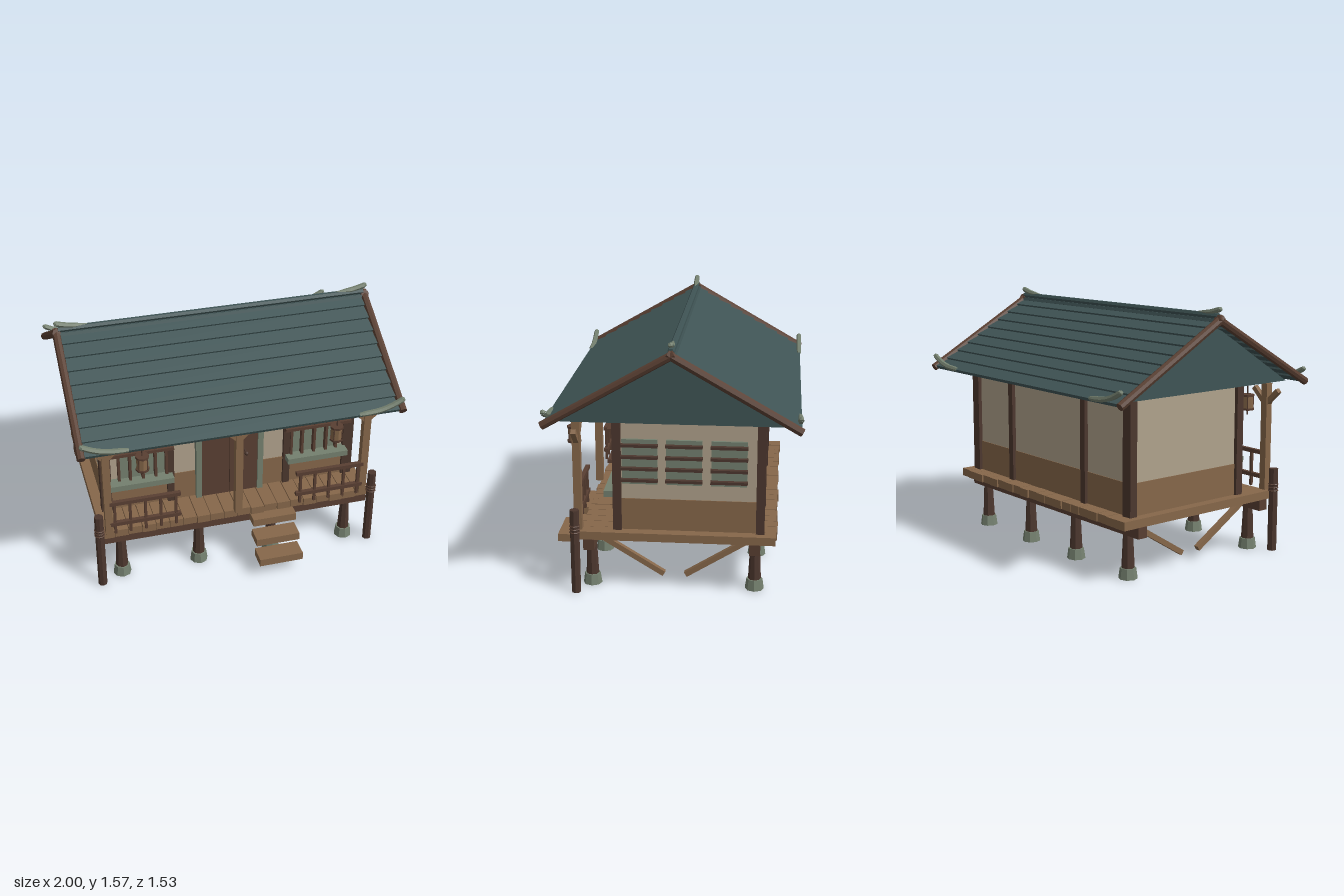
import * as THREE from 'three';

const mat = (name, color) => {
  const m = new THREE.MeshStandardMaterial({ color });
  m.name = name;
  return m;
};

export function createModel() {
  const M = {
    roof: mat('roofTeal', 0x3f5455),
    plaster: mat('plaster', 0xb0a28c),
    wood: mat('lightWood', 0x86674a),
    trim: mat('brownWood', 0x593f32),
    dark: mat('darkWood', 0x4c372e),
    stone: mat('greyGreen', 0x74806f),
  };
  const root = new THREE.Group();
  root.name = 'stiltHouse';

  // Faceted mesh helper
  const add = (name, geo, m, x = 0, y = 0, z = 0, parent = root) => {
    const g = geo.index ? geo.toNonIndexed() : geo;
    g.computeVertexNormals();
    const mesh = new THREE.Mesh(g, m);
    mesh.name = name;
    mesh.position.set(x, y, z);
    parent.add(mesh);
    return mesh;
  };
  // Box given by its limits on each axis
  const box = (name, m, x0, x1, y0, y1, z0, z1) =>
    add(name, new THREE.BoxGeometry(x1 - x0, y1 - y0, z1 - z0), m, (x0 + x1) / 2, (y0 + y1) / 2, (z0 + z1) / 2);
  const cyl = (name, m, rTop, rBottom, y0, y1, x, z, sides = 8) =>
    add(name, new THREE.CylinderGeometry(rTop, rBottom, y1 - y0, sides), m, x, (y0 + y1) / 2, z);
  // Square timber between two points
  const beam = (name, m, a, b, size) => {
    const p = new THREE.Vector3(...a), q = new THREE.Vector3(...b);
    const mid = p.clone().add(q).multiplyScalar(0.5);
    const mesh = add(name, new THREE.BoxGeometry(size, size, p.distanceTo(q)), m, mid.x, mid.y, mid.z);
    mesh.lookAt(q);
    return mesh;
  };
  let seed = 7;
  const rand = () => (seed = (seed * 16807) % 2147483647) / 2147483647;

  // Stilts on stone feet, beams and diagonal braces
  for (const z of [0.485, -0.495]) {
    for (const x of [-0.74, -0.24, 0.24, 0.74]) {
      cyl('stoneFoot', M.stone, 0.048, 0.057, 0, 0.065, x, z);
      cyl('stilt', M.dark, 0.029, 0.039, 0.065, 0.28, x, z);
    }
    box('floorBeam', M.trim, -0.87, 0.87, 0.267, 0.334, z - 0.032, z + 0.032);
  }
  for (const x of [-0.74, 0.74]) {
    beam('floorBrace', M.wood, [x, 0.325, 0.455], [x, 0.075, 0.05], 0.032);
    beam('floorBrace', M.wood, [x, 0.325, -0.48], [x, 0.075, -0.08], 0.032);
  }

  // Floor planks with slightly uneven ends
  const planks = 20, pw = 1.74 / planks;
  for (let i = 0; i < planks; i++) {
    const x = -0.87 + i * pw, e = rand() * 0.012, h = rand() * 0.004;
    box('floorPlank', M.wood, x + 0.002, x + pw - 0.002, 0.333, 0.381 + h, -0.628 + e, 0.548 - e);
  }

  // Entry steps
  [[0.283, 0.49, 0.61], [0.187, 0.575, 0.69], [0.09, 0.65, 0.77]].forEach(([y, z0, z1]) =>
    box('step', M.wood, 0.085, 0.365, y, y + 0.05, z0, z1));

  // Mooring posts with rope rings
  for (const x of [-0.88, 0.88]) {
    cyl('mooringPost', M.dark, 0.028, 0.028, 0, 0.525, x, 0.563);
    for (const y of [0.385, 0.405, 0.425])
      add('ropeRing', new THREE.TorusGeometry(0.028, 0.005, 5, 10), M.trim, x, y, 0.563).rotation.x = Math.PI / 2;
  }

  // Walls and wall posts
  box('wainscot', M.wood, -0.805, 0.805, 0.383, 0.578, -0.53, 0.325);
  box('plasterWall', M.plaster, -0.8, 0.8, 0.578, 1.15, -0.525, 0.32);
  for (const x of [-0.79, -0.379, 0.379, 0.79]) {
    const w = Math.abs(x) > 0.5 ? 0.034 : 0.022;
    for (const z of [0.318, -0.524]) box('wallPost', M.dark, x - w, x + w, 0.383, 1.15, z - 0.025, z + 0.025);
  }

  // Double door
  box('doorFrameTop', M.stone, -0.218, 0.218, 0.998, 1.035, 0.3, 0.358);
  for (const s of [-1, 1]) {
    box('doorFrameSide', M.stone, s * 0.2 - 0.018, s * 0.2 + 0.018, 0.383, 1.0, 0.3, 0.358);
    box('doorLeaf', M.trim, s * 0.092 - 0.09, s * 0.092 + 0.09, 0.385, 0.998, 0.3, 0.348);
  }
  add('doorKnob', new THREE.IcosahedronGeometry(0.014, 1), M.dark, 0.097, 0.7, 0.395);
  add('knobStem', new THREE.BoxGeometry(0.01, 0.01, 0.05), M.dark, 0.097, 0.7, 0.365);

  // Front windows, railings, lanterns on both sides
  for (const s of [-1, 1]) {
    const c = s * 0.556;
    box('windowPane', M.stone, c - 0.155, c + 0.155, 0.6, 0.99, 0.31, 0.328);
    for (const y of [0.803, 0.992]) box('windowBar', M.trim, s * 0.578 - 0.218, s * 0.578 + 0.218, y - 0.01, y + 0.01, 0.345, 0.372);
    for (const dx of [-0.08, 0, 0.08]) box('windowMullion', M.trim, c + dx - 0.008, c + dx + 0.008, 0.605, 0.99, 0.328, 0.362);
    for (const dx of [-0.15, 0.15]) box('windowJamb', M.trim, c + dx - 0.008, c + dx + 0.008, 0.605, 0.99, 0.328, 0.355);
    box('windowSill', M.stone, s * 0.57 - 0.2, s * 0.57 + 0.2, 0.568, 0.606, 0.32, 0.405);

    const r = s * 0.59;
    for (const y of [0.608, 0.455]) box('railing', M.trim, r - 0.22, r + 0.22, y - 0.012, y + 0.012, 0.552, 0.578);
    for (let i = -2; i <= 2; i++) box('baluster', M.trim, r + i * 0.095 - 0.008, r + i * 0.095 + 0.008, 0.383, 0.605, 0.557, 0.573);

    const lx = s * 0.605, lz = 0.6;
    cyl('lanternRod', M.dark, 0.004, 0.004, 0.82, 1.07, lx, lz, 5);
    cyl('lanternBody', M.wood, 0.036, 0.036, 0.86, 0.945, lx, lz);
    for (const y of [0.852, 0.94]) cyl('lanternRim', M.trim, 0.042, 0.042, y, y + 0.013, lx, lz);
    for (let i = 0; i < 4; i++) {
      const a = Math.PI / 4 + i * Math.PI / 2;
      cyl('lanternRib', M.trim, 0.004, 0.004, 0.86, 0.945, lx + 0.036 * Math.cos(a), lz + 0.036 * Math.sin(a), 5);
    }
  }

  // Porch posts with forked braces
  for (const x of [-0.818, 0, 0.818]) {
    box('porchPost', M.wood, x - 0.023, x + 0.023, 0.383, 1.056, 0.526, 0.572);
    for (const s of [-1, 1]) beam('porchBrace', M.wood, [x, 0.925, 0.548], [x + s * 0.1, 1.02, 0.548], 0.03);
  }

  // Louvred openings on the left wall
  for (const z of [0.183, -0.077, -0.339]) {
    box('louvrePanel', M.stone, 0.79, 0.815, 0.674, 0.948, z - 0.104, z + 0.104);
    for (const y of [0.702, 0.773, 0.844, 0.915]) box('louvreSlat', M.dark, 0.81, 0.842, y - 0.008, y + 0.008, z - 0.108, z + 0.108);
  }

  // Roof: overlapping tilted courses and verge poles on both slopes
  const ridgeY = 1.518, ridgeZ = -0.016, courses = 9, step = 0.845 / courses;
  for (const turn of [0, Math.PI]) {
    const slope = new THREE.Group();
    slope.name = turn ? 'backSlope' : 'frontSlope';
    slope.position.set(0, ridgeY, ridgeZ);
    slope.rotation.set(0.52, turn, 0, 'YXZ');
    root.add(slope);
    for (let i = 0; i < courses; i++)
      add('roofCourse', new THREE.BoxGeometry(1.93, 0.02, step + 0.014), M.roof, 0, -0.03, (i + 0.5) * step, slope).rotation.x = -0.12;
    for (const s of [-1, 1])
      add('vergePole', new THREE.CylinderGeometry(0.025, 0.025, 0.87, 8), M.trim, s * 0.976, -0.024, 0.425, slope).rotation.x = Math.PI / 2;
  }
  add('ridgePole', new THREE.CylinderGeometry(0.018, 0.018, 1.93, 6), M.roof, 0, 1.514, ridgeZ).rotation.z = Math.PI / 2;

  // Gable ends
  const tri = new THREE.Shape([[-0.645, 1.073], [0.645, 1.073], [0, 1.475]].map(p => new THREE.Vector2(...p)));
  for (const s of [-1, 1])
    add('gable', new THREE.ExtrudeGeometry(tri, { depth: 0.02, bevelEnabled: false }), M.roof, s * 0.89 - 0.01, 0, ridgeZ).rotation.y = Math.PI / 2;

  // Upswept horns, narrowing towards the roof centre
  const horn = (pts, s, z, inner) => {
    const curve = new THREE.CatmullRomCurve3(pts.map(([x, y]) => new THREE.Vector3(s * x, y, z)));
    const g = new THREE.TubeGeometry(curve, 8, 0.017, 6);
    const pos = g.attributes.position, v = new THREE.Vector3();
    for (let i = 0; i < pos.count; i++) {
      const t = Math.floor(i / 7) / 8, c = curve.getPointAt(t);
      v.fromBufferAttribute(pos, i).sub(c).multiplyScalar(Math.min(1, inner + 2 * t)).add(c);
      pos.setXYZ(i, v.x, v.y, v.z);
    }
    add('roofHorn', g, M.stone);
    const [x, y] = pts[pts.length - 1];
    add('hornTip', new THREE.IcosahedronGeometry(0.017, 0), M.stone, s * x, y, z);
  };
  for (const s of [-1, 1]) {
    horn([[0.78, 1.528], [0.89, 1.532], [0.975, 1.553]], s, ridgeZ, 0.1);
    for (const d of [-1, 1]) horn([[0.7, 1.083], [0.83, 1.093], [0.91, 1.117], [0.97, 1.147]], s, ridgeZ + d * 0.724, 0.7);
  }
  return root;
}
